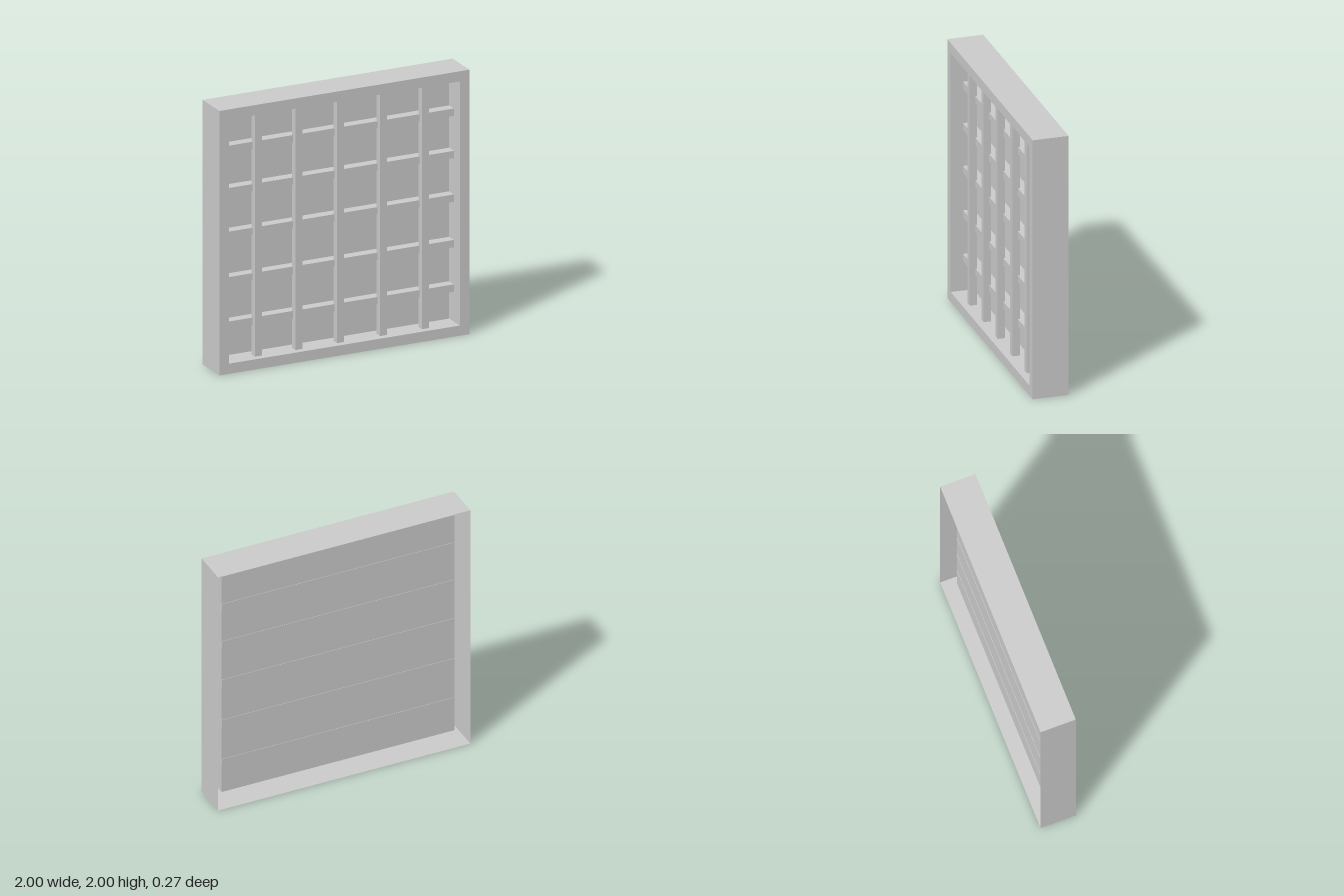
import * as THREE from 'three';

const FRONT = 0.135, BACK = -0.135, PANEL = -0.035;
const HALF = 1, INNER = 0.923, BAR = 0.055;

export function createModel() {
  const model = new THREE.Group();
  model.name = 'gridWindow';
  const material = new THREE.MeshStandardMaterial({
    color: 0xcccccc, flatShading: true, side: THREE.DoubleSide,
  });

  const add = (parent, name, geometry, x, y, z) => {
    const mesh = new THREE.Mesh(geometry, material);
    mesh.name = name;
    mesh.position.set(x, y, z);
    parent.add(mesh);
  };

  // Open square sleeve running along z
  const sleeve = (half, depth) => {
    const r = half * Math.SQRT2;
    return new THREE.CylinderGeometry(r, r, depth, 4, 1, true)
      .rotateY(Math.PI / 4).rotateX(Math.PI / 2);
  };

  // Square outline used for the front rim
  const square = (h, Type) => new Type([
    new THREE.Vector2(-h, -h), new THREE.Vector2(h, -h),
    new THREE.Vector2(h, h), new THREE.Vector2(-h, h),
  ]);

  // Hollow frame: outer walls, front rim and inner walls, open at the back
  const frame = new THREE.Group();
  frame.name = 'frame';
  model.add(frame);
  add(frame, 'outerWalls', sleeve(HALF, FRONT - BACK), 0, 1, 0);
  add(frame, 'innerWalls', sleeve(INNER, FRONT - PANEL), 0, 1, (FRONT + PANEL) / 2);
  const rim = square(HALF, THREE.Shape);
  rim.holes.push(square(INNER, THREE.Path));
  add(frame, 'frontRim', new THREE.ShapeGeometry(rim), 0, 1, FRONT);

  // Recessed panel
  add(model, 'backPanel', new THREE.PlaneGeometry(2 * INNER, 2 * INNER), 0, 1, PANEL);

  // Horizontal bars against the panel, just showing through behind it
  const barBack = PANEL - 0.003, barFront = 0.042;
  for (const y of [0.332, 0.668, 1.012, 1.342, 1.662]) {
    add(model, 'horizontalBar', new THREE.BoxGeometry(2 * INNER, BAR, barFront - barBack),
      0, y, (barFront + barBack) / 2);
  }

  // Vertical bars in front of the horizontal ones
  for (const x of [-0.663, -0.338, -0.007, 0.338, 0.673]) {
    add(model, 'verticalBar', new THREE.BoxGeometry(BAR, 2 * INNER, BAR), x, 1, 0.056);
  }

  return model;
}
